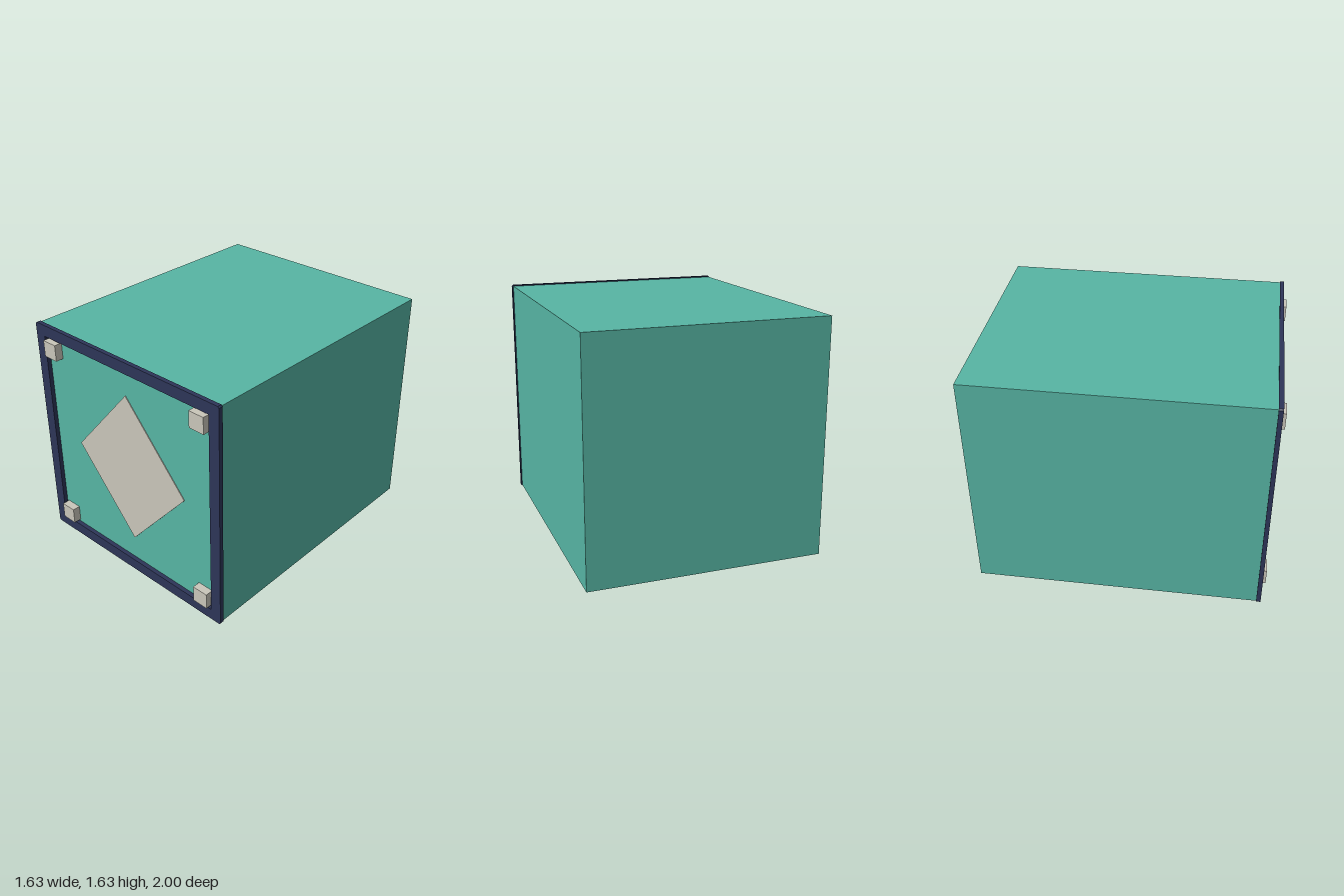
import * as THREE from 'three';

// Closed shape from a short list of corners
const polygon = (pts) => new THREE.Shape(pts.map(([x, y]) => new THREE.Vector2(x, y)));

export function createModel() {
  const model = new THREE.Group();
  model.name = 'crate';

  const paint = (name, color) => {
    const m = new THREE.MeshStandardMaterial({ color });
    m.name = name;
    return m;
  };
  const teal = paint('teal', 0x57b5a4);
  const navy = paint('navy', 0x2d3558);
  const cream = paint('cream', 0xcac6ba);

  const add = (name, geometry, material, x, y, z) => {
    const mesh = new THREE.Mesh(geometry, material);
    mesh.name = name;
    mesh.position.set(x, y, z);
    model.add(mesh);
  };

  const midY = 0.815;
  const frontZ = 0.945;

  // Main block
  add('body', new THREE.BoxGeometry(1.61, 1.61, 1.945), teal, 0, midY, -0.0275);

  // Front frame with slightly clipped corners
  const o = 0.813, c = 0.803, w = 0.733;
  const outline = polygon([
    [-c, -o], [c, -o], [o, -c], [o, c], [c, o], [-c, o], [-o, c], [-o, -c],
  ]);
  outline.holes.push(polygon([[-w, -w], [-w, w], [w, w], [w, -w]]));
  add('frontFrame', new THREE.ExtrudeGeometry(outline, { depth: 0.03, bevelEnabled: false }),
    navy, 0, midY, frontZ);

  // Diamond panel on the front face
  const diamond = polygon([[0, -0.557], [0.492, 0], [0, 0.557], [-0.492, 0]]);
  add('diamond', new THREE.ExtrudeGeometry(diamond, { depth: 0.005, bevelEnabled: false }),
    cream, 0, midY, frontZ);

  // Square studs in the four corners
  const stud = new THREE.BoxGeometry(0.115, 0.115, 0.055);
  for (const sx of [-1, 1]) {
    for (const sy of [-1, 1]) {
      add('cornerStud', stud, cream, sx * 0.658, midY + sy * 0.66, 0.9725);
    }
  }

  return model;
}
